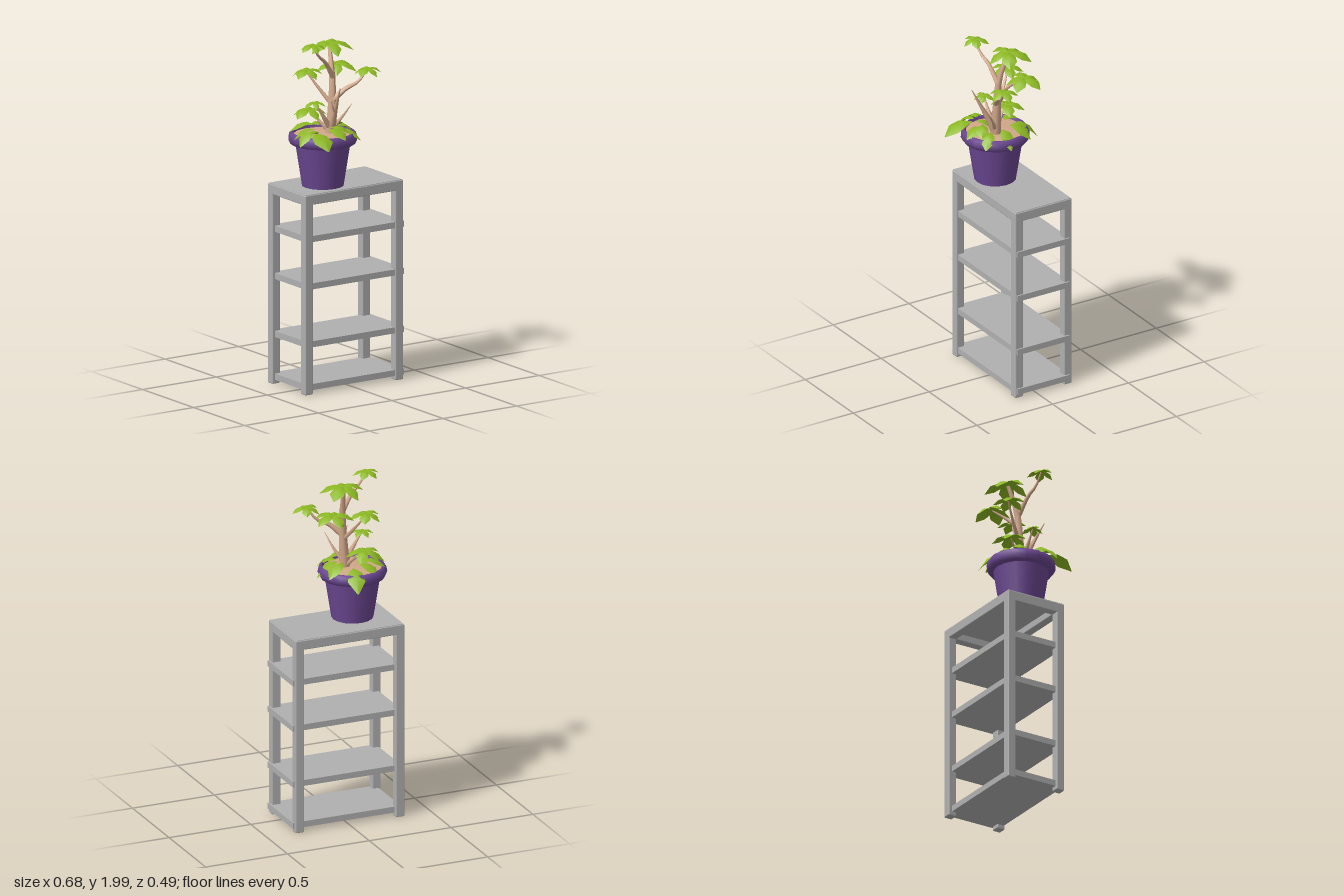
import * as THREE from 'three';
import { mergeGeometries } from 'three/addons/utils/BufferGeometryUtils.js';
import { RoundedBoxGeometry } from 'three/addons/geometries/RoundedBoxGeometry.js';

const material = (name, color, side = THREE.FrontSide) => {
  const m = new THREE.MeshStandardMaterial({ color, side });
  m.name = name;
  return m;
};

export function createModel() {
  const grey = material('shelf grey', 0xb0b0b0);
  const purple = material('pot purple', 0x6b4792, THREE.DoubleSide);
  const tan = material('bark and soil tan', 0xd2a88a);
  const green = material('leaf green', 0x8cb822, THREE.DoubleSide);

  const model = new THREE.Group();
  const add = (parent, name, geometry, mat) => {
    const mesh = new THREE.Mesh(geometry, mat);
    mesh.name = name;
    parent.add(mesh);
    return mesh;
  };

  // ---- Shelf unit: boxes given by their limits on each axis ----
  const rack = new THREE.Group();
  rack.name = 'shelfUnit';
  model.add(rack);
  const box = (name, [x0, x1], [y0, y1], [z0, z1], bevel = 0) => {
    const size = [x1 - x0, y1 - y0, z1 - z0];
    const geo = bevel ? new RoundedBoxGeometry(...size, 1, bevel) : new THREE.BoxGeometry(...size);
    add(rack, name, geo, grey).position.set((x0 + x1) / 2, (y0 + y1) / 2, (z0 + z1) / 2);
  };
  const legX = [[-0.335, -0.283], [0.277, 0.33]];
  const legZ = [[-0.235, -0.185], [0.087, 0.137]];
  for (const x of legX) for (const z of legZ) box('leg', x, [0, 1.145], z, 0.006);
  for (const z of legZ) box('longTopRail', [-0.335, 0.33], [1.09, 1.148], z, 0.006);
  for (const x of legX) box('shortTopRail', x, [1.09, 1.148], [-0.235, 0.137], 0.006);
  box('topPanel', [-0.33, 0.325], [1.13, 1.15], [-0.23, 0.132]);
  for (const y of [0.024, 0.27, 0.603, 0.875]) box('shelf', [-0.32, 0.339], [y, y + 0.035], [-0.215, 0.13]);

  // ---- Pot with a rolled rim, and soil ----
  const plant = new THREE.Group();
  plant.name = 'pottedPlant';
  model.add(plant);
  const lathe = (pts, sides = 16) => new THREE.LatheGeometry(pts.map(p => new THREE.Vector2(...p)), sides);
  const pot = new THREE.Group();
  pot.name = 'pot';
  pot.position.set(-0.116, 1.15, -0.01);
  plant.add(pot);
  add(pot, 'potBody', lathe([[0.001, 0.002], [0.118, 0.002], [0.118, 0.002], [0.157, 0.25]]), purple);
  add(pot, 'potRim', lathe([[0.155, 0.242], [0.183, 0.246], [0.195, 0.27], [0.19, 0.298], [0.178, 0.311],
    [0.168, 0.308], [0.163, 0.275]]), purple);
  add(pot, 'soil', lathe([[0.172, 0.293], [0.1, 0.3], [0, 0.305]]), tan);

  // ---- Trunk and branches: tapered tubes along smooth paths ----
  const branch = (name, r0, r1, points) => {
    const curve = new THREE.CatmullRomCurve3(points.map(p => new THREE.Vector3(...p)));
    const segs = 8, sides = 7;
    const geo = new THREE.TubeGeometry(curve, segs, 1, sides);
    const pos = geo.attributes.position, v = new THREE.Vector3();
    for (let i = 0; i < pos.count; i++) {
      const t = Math.floor(i / (sides + 1)) / segs;
      const c = curve.getPointAt(t);
      v.fromBufferAttribute(pos, i).sub(c).multiplyScalar(r0 + (r1 - r0) * t).add(c);
      pos.setXYZ(i, v.x, v.y, v.z);
    }
    geo.computeVertexNormals();
    add(plant, name, geo, tan);
  };
  branch('trunk', 0.032, 0.01, [[-0.08, 1.43, 0.01], [-0.068, 1.6, 0.01], [-0.06, 1.78, 0], [-0.045, 1.94, -0.05]]);
  branch('upperLeftBranch', 0.016, 0.004, [[-0.06, 1.77, 0.01], [-0.13, 1.87, 0.03], [-0.18, 1.91, 0.045], [-0.23, 1.98, 0.05]]);
  branch('rightBranch', 0.019, 0.004, [[-0.065, 1.64, 0.015], [0.0, 1.7, 0.045], [0.07, 1.735, 0.065], [0.12, 1.8, 0.085]]);
  branch('backRightBranch', 0.013, 0.004, [[-0.06, 1.7, 0], [-0.01, 1.76, -0.05], [0.04, 1.81, -0.1]]);
  branch('backLeftBranch', 0.013, 0.004, [[-0.07, 1.62, 0], [-0.11, 1.7, -0.06], [-0.155, 1.79, -0.12]]);
  branch('frontBranch', 0.024, 0.002, [[-0.075, 1.46, 0.015], [-0.09, 1.58, 0.07], [-0.108, 1.74, 0.15]]);
  branch('frontTwig', 0.01, 0.001, [[-0.09, 1.58, 0.075], [-0.115, 1.62, 0.085], [-0.13, 1.66, 0.09]]);
  branch('lowLeftBranch', 0.02, 0.003, [[-0.075, 1.47, 0.01], [-0.13, 1.55, 0.02], [-0.19, 1.64, 0.02]]);
  branch('lowBackBranch', 0.014, 0.003, [[-0.08, 1.46, 0], [-0.12, 1.52, -0.05], [-0.15, 1.57, -0.1]]);
  branch('lowRightTwig', 0.013, 0.001, [[-0.07, 1.48, 0.02], [-0.03, 1.55, 0.06], [0.0, 1.63, 0.11]]);

  // ---- Leaves: pointed blades folded at the midrib and drooping at the tip ----
  // Each row is [distance, half width, height] as a share of the length.
  const rows = [[0, 0.02, 0], [0.35, 0.27, 0.1], [0.68, 0.33, 0], [1, 0.02, -0.32]];
  const leaf = (x, y, z, yaw, length, droop = 1) => {
    const c = Math.cos(yaw), s = Math.sin(yaw), verts = [], index = [];
    rows.forEach(([d, w, h], i) => {
      for (const side of [-1, 0, 1]) {
        const along = d * length, across = side * w * length;
        const up = (h - (droop - 1) * 0.5 * d * d - Math.abs(side) * w * 0.4) * length;
        verts.push(x + along * c - across * s, y + up, z + along * s + across * c);
      }
      if (i) for (const k of [0, 1]) {
        const a = i * 3 - 3 + k;
        index.push(a, a + 1, a + 3, a + 1, a + 4, a + 3);
      }
    });
    const geo = new THREE.BufferGeometry();
    geo.setAttribute('position', new THREE.Float32BufferAttribute(verts, 3));
    // corners run so that the upper side is the front
    geo.setIndex(index.reverse());
    geo.computeVertexNormals();
    return geo;
  };

  // Whorls at the branch ends: [x, y, z, leaf length, turn]
  const whorls = [
    [-0.23, 1.98, 0.05, 0.075, 0.4], [-0.04, 1.95, -0.05, 0.125, 0.5],
    [0.04, 1.81, -0.1, 0.11, 0.9], [0.12, 1.805, 0.085, 0.08, 0.1],
    [-0.155, 1.795, -0.11, 0.09, 0.2], [-0.19, 1.64, 0.02, 0.06, 0.7],
    [-0.15, 1.57, -0.1, 0.1, 0.3],
  ];
  for (const [x, y, z, size, turn] of whorls) {
    const leaves = [];
    for (let i = 0; i < 5; i++) {
      leaves.push(leaf(x, y, z, turn + i * Math.PI * 0.4, size * (i % 2 ? 0.9 : 1.05), i % 2 ? 1.3 : 1));
    }
    add(plant, 'leafWhorl', mergeGeometries(leaves), green);
  }

  // Large leaves lying over the soil and the rim: [x, z, yaw, length, droop]
  const low = [
    [-0.23, 0.07, 1.68, 0.17, 1.1], [-0.23, 0.06, 2.9, 0.11, 1.6], [-0.22, 0.05, 3.6, 0.11, 1.4],
    [-0.22, 0.05, -0.9, 0.09, 1], [-0.12, 0.06, 1.4, 0.13, 1], [-0.12, 0.07, 0.6, 0.11, 1],
    [-0.05, 0.06, 0.8, 0.12, 1.3], [-0.03, 0.0, 0.1, 0.12, 1.7], [-0.04, -0.06, -0.5, 0.13, 1.3],
    [-0.08, -0.1, -1.35, 0.15, 1.7], [-0.13, -0.08, -2.1, 0.12, 1], [-0.16, -0.06, -2.7, 0.12, 1],
  ];
  add(plant, 'lowLeaves', mergeGeometries(low.map(([x, z, yaw, len, droop], i) =>
    leaf(x, 1.475 + 0.012 * (i % 3), z, yaw, len, droop))), green);

  return model;
}
